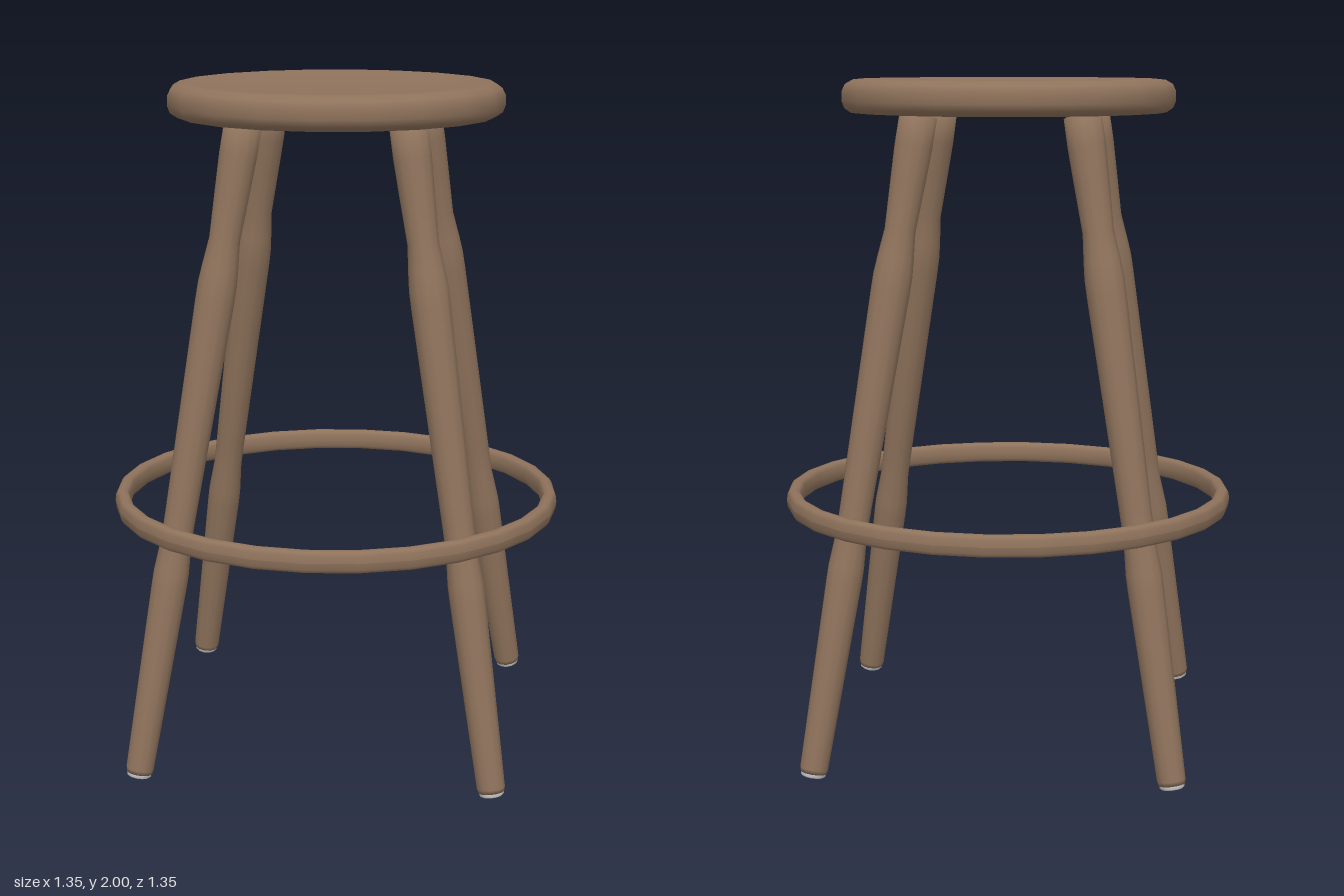
import * as THREE from 'three';

const wood = new THREE.MeshStandardMaterial({ color: 0x8f735c });
const grey = new THREE.MeshStandardMaterial({ color: 0xcccccc });

// Solid of revolution from [radius, height] pairs listed bottom to top
function turned(name, points, sides, material) {
  const profile = points.map(([r, y]) => new THREE.Vector2(r, y));
  const mesh = new THREE.Mesh(new THREE.LatheGeometry(profile, sides), material);
  mesh.name = name;
  return mesh;
}

export function createModel() {
  const stool = new THREE.Group();
  stool.name = 'stool';

  // Round seat with soft edges and a shallow dish
  stool.add(turned('seat', [
    [0, 1.9], [0.44, 1.9], [0.468, 1.902], [0.488, 1.915], [0.496, 1.935], [0.496, 1.965],
    [0.486, 1.985], [0.465, 1.997], [0.435, 2], [0.38, 1.995], [0.25, 1.988], [0, 1.984],
  ], 20, wood));

  // Small plate under the seat
  const plate = new THREE.Mesh(new THREE.BoxGeometry(0.16, 0.008, 0.16), grey);
  plate.name = 'seatPlate';
  plate.position.y = 1.898;
  stool.add(plate);

  // Foot ring, taller than it is wide
  const section = [];
  for (let i = 0; i <= 12; i++) {
    const a = (i / 12) * Math.PI * 2;
    const soft = (v) => Math.sign(v) * Math.pow(Math.abs(v), 0.75);
    section.push([0.653 + 0.022 * soft(Math.cos(a)), 0.742 + 0.033 * soft(Math.sin(a))]);
  }
  stool.add(turned('footRing', section, 28, wood));

  // Four splayed, turned legs with metal glides
  const foot = new THREE.Vector3(0.52, 0.009, 0.52);
  const top = new THREE.Vector3(0.235, 1.9, 0.235);
  const axis = top.clone().sub(foot).normalize();
  const tilt = new THREE.Quaternion().setFromUnitVectors(new THREE.Vector3(0, 1, 0), axis);
  const names = ['frontLeftLeg', 'backLeftLeg', 'backRightLeg', 'frontRightLeg'];
  names.forEach((name, i) => {
    const leg = new THREE.Group();
    leg.name = name;
    leg.add(turned('legWood', [
      [0, 0.012], [0.038, 0.012], [0.041, 0.025], [0.052, 0.58], [0.052, 0.62], [0.045, 0.72],
      [0.046, 0.8], [0.057, 1.42], [0.057, 1.47], [0.053, 1.52], [0.045, 1.6],
      [0.051, 1.74], [0.055, 1.84], [0.055, 1.93], [0, 1.93],
    ], 12, wood));
    leg.add(turned('glide', [[0, 0], [0.031, 0], [0.036, 0.004], [0.036, 0.014]], 12, grey));
    leg.position.copy(foot);
    leg.quaternion.copy(tilt);
    const turn = new THREE.Group();
    turn.name = name + 'Mount';
    turn.rotation.y = (i * Math.PI) / 2;
    turn.add(leg);
    stool.add(turn);
  });

  return stool;
}
